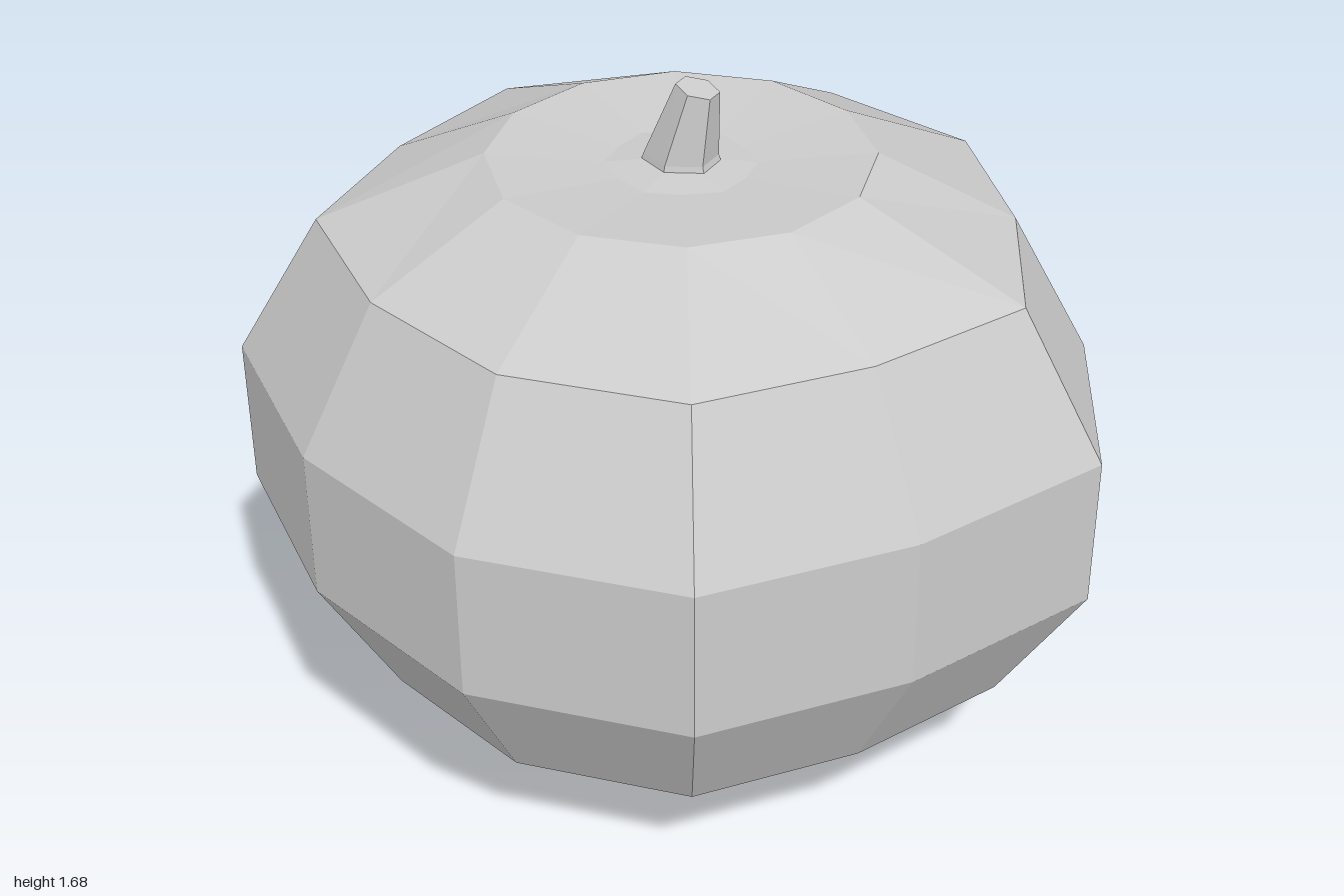
import * as THREE from 'three';

// Joins rings of points, listed from bottom to top, into a faceted skin.
// A ring with a single point closes the skin as a fan.
function loft(rings) {
  const pos = [];
  const tri = (...pts) => pts.forEach((p) => pos.push(p.x, p.y, p.z));
  for (let k = 0; k < rings.length - 1; k++) {
    const lo = rings[k], hi = rings[k + 1];
    const n = Math.max(lo.length, hi.length);
    for (let i = 0; i < n; i++) {
      const a = lo[i % lo.length], b = lo[(i + 1) % lo.length];
      const c = hi[i % hi.length], d = hi[(i + 1) % hi.length];
      if (hi.length > 1) tri(a, c, d);
      if (lo.length > 1) tri(a, hi.length > 1 ? d : c, b);
    }
  }
  const geo = new THREE.BufferGeometry();
  geo.setAttribute('position', new THREE.Float32BufferAttribute(pos, 3));
  geo.computeVertexNormals();
  return geo;
}

export function createModel() {
  const group = new THREE.Group();
  const material = new THREE.MeshStandardMaterial({ color: 0xcccccc, flatShading: true });
  const add = (name, geo) => {
    const mesh = new THREE.Mesh(geo, material);
    mesh.name = name;
    group.add(mesh);
  };
  const CX = -0.04; // axis of the fruit
  const point = (y) => [new THREE.Vector3(CX, y, 0)];

  // Body: uneven twelve-sided outline, mirrored front to back
  const half = [[1, 0], [0.78, 0.46], [0.46, 0.845], [-0.04, 0.957], [-0.53, 0.81], [-0.94, 0.497], [-1, 0]];
  const outline = half.concat(half.slice(1, -1).reverse().map(([x, z]) => [x, -z]));
  const bodyRing = (y, s) => outline.map(([x, z]) => new THREE.Vector3(CX + (x - CX) * s, y, z * s));
  // Small end rings are nearly round
  const endRing = (y) => outline.map(([x, z]) => {
    const dx = x - CX, k = 0.44 / Math.hypot(dx, z);
    return new THREE.Vector3(CX + dx * k, y, z * k);
  });
  add('body', loft([
    point(0), endRing(0.085), bodyRing(0.31, 0.805), bodyRing(0.64, 1),
    bodyRing(1.0, 1), bodyRing(1.335, 0.805), endRing(1.5), point(1.465),
  ]));

  // Stem: six-sided, leaning to +x, with a slanted cut and a low flared foot
  const stemRing = (x, y, rx, rz, slant = 0) => Array.from({ length: 6 }, (_, i) => {
    const a = (i * Math.PI) / 3 + Math.PI / 6;
    const dx = Math.cos(a) * rx;
    return new THREE.Vector3(x + dx, y - dx * slant, Math.sin(a) * rz);
  });
  add('stem', loft([
    stemRing(CX, 1.46, 0.1, 0.085), stemRing(CX, 1.5, 0.087, 0.075),
    stemRing(0.002, 1.668, 0.05, 0.046, 0.22), [new THREE.Vector3(0.002, 1.668, 0)],
  ]));
  add('stemFoot', loft([stemRing(CX, 1.476, 0.21, 0.2), stemRing(CX, 1.487, 0.08, 0.075)]));

  return group;
}
